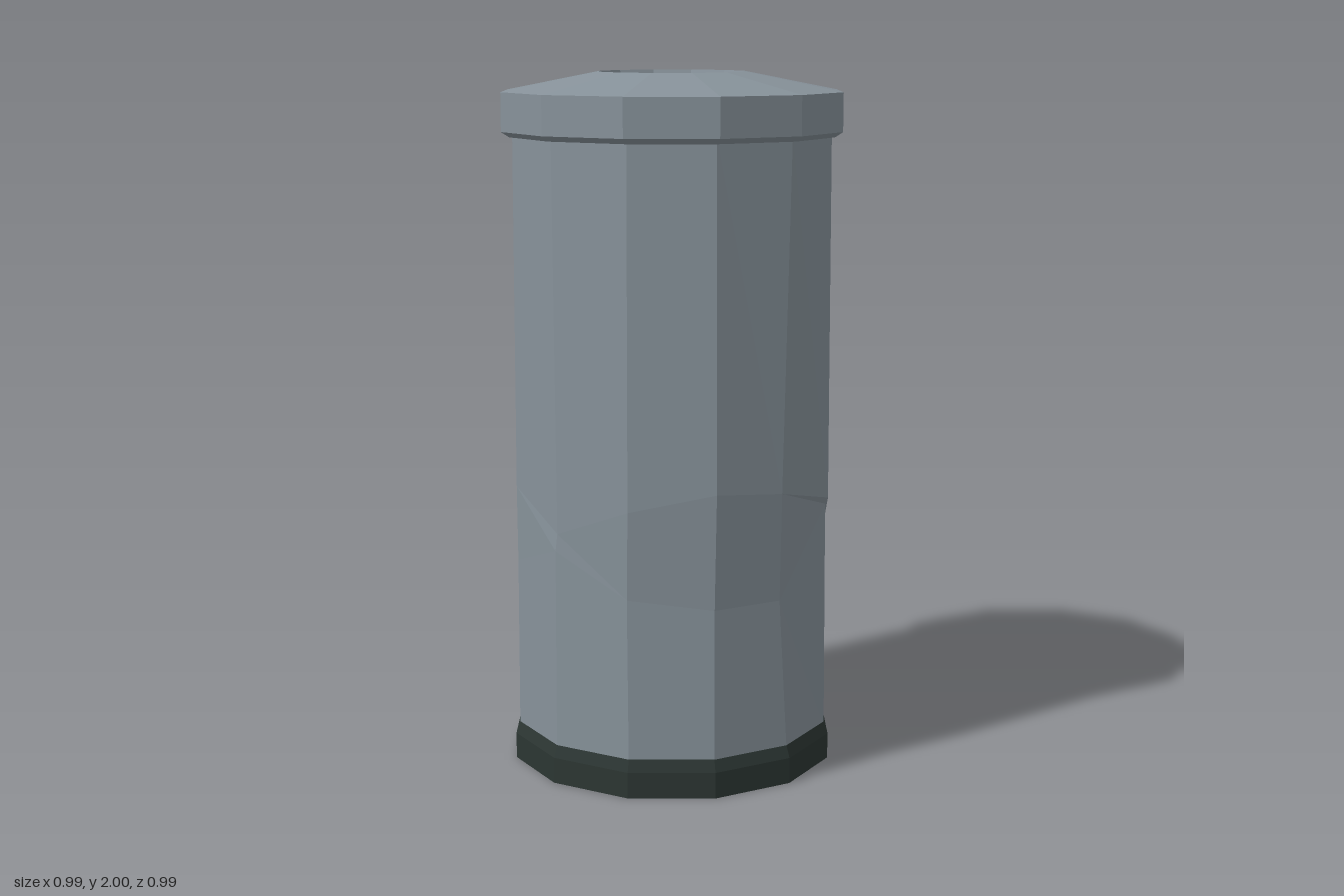
import * as THREE from 'three';

const mat = (name, color) => {
  const m = new THREE.MeshStandardMaterial({ color, side: THREE.DoubleSide });
  m.name = name;
  return m;
};

// Faceted normals for the low-poly look
function flat(geo) {
  const g = geo.index ? geo.toNonIndexed() : geo;
  g.computeVertexNormals();
  return g;
}

export function createModel() {
  const group = new THREE.Group();
  const steel = mat('greySteel', 0x87929a);
  const dark = mat('darkRubber', 0x2c3633);
  const brown = mat('brownCard', 0x8a5c36);
  const blue = mat('blueWrapper', 0x4762a6);

  const add = (name, geo, material, pos = [0, 0, 0], rot = [0, 0, 0]) => {
    const mesh = new THREE.Mesh(flat(geo), material);
    mesh.name = name;
    mesh.position.set(...pos);
    mesh.rotation.set(...rot);
    group.add(mesh);
    return mesh;
  };
  const lathe = (points) => new THREE.LatheGeometry(points.map(p => new THREE.Vector2(...p)), 12);

  // Base with a small bevel
  add('base', lathe([[0, 0], [0.475, 0], [0.475, 0.075], [0.463, 0.11], [0, 0.11]]), dark);

  // Twelve-sided body, two middle rings shifted to make the front dent
  const body = lathe([[0.463, 0.1], [0.462, 0.6], [0.464, 0.82], [0.463, 1.84]]);
  const p = body.attributes.position;
  const dent = {
    0: [[0, 0.54, 0.46], [0, 0.87, 0.478]],
    1: [[0.205, 0.54, 0.405], [0.205, 0.85, 0.42]],
    2: [[0.395, 0.77, 0.235], [0.4, 0.79, 0.245]],
    10: [[-0.4, 0.68, 0.235], [-0.395, 0.73, 0.238]],
    11: [[-0.235, 0.57, 0.4], [-0.235, 0.82, 0.412]],
  };
  for (let i = 0; i <= 12; i++) {
    const d = dent[i % 12];
    if (d) d.forEach((v, k) => p.setXYZ(i * 4 + 1 + k, ...v));
  }
  add('body', body, steel);
  add('innerFloor', new THREE.CylinderGeometry(0.45, 0.45, 0.01, 12), steel, [0, 0.125, 0]);

  // Lid with sloping top and a funnel-shaped opening
  add('lid', lathe([[0.455, 1.82], [0.472, 1.82], [0.495, 1.835], [0.495, 1.945],
    [0.215, 2.0], [0.188, 1.92]]), steel);

  // Open square box among the rubbish
  const outline = new THREE.Shape([[-1, -1], [1, -1], [1, 1], [-1, 1]].map(([x, y]) =>
    new THREE.Vector2(x * 0.113, y * 0.113)));
  outline.holes.push(new THREE.Path([[-1, -1], [-1, 1], [1, 1], [1, -1]].map(([x, y]) =>
    new THREE.Vector2(x * 0.093, y * 0.093))));
  const frame = new THREE.ExtrudeGeometry(outline, { depth: 0.3, bevelEnabled: false });
  frame.rotateX(Math.PI / 2);
  frame.rotateY(0.35);
  add('openBox', frame, steel, [0.05, 1.76, 0.04]);
  add('boxFloor', new THREE.BoxGeometry(0.2, 0.01, 0.2), steel, [0.05, 1.47, 0.04], [0, 0.35, 0]);
  add('boxScrap', new THREE.DodecahedronGeometry(0.07), brown, [0.045, 1.47, 0.12]);

  // Loose rubbish around the box
  add('brownCarton', new THREE.BoxGeometry(0.03, 0.3, 0.2), brown, [-0.075, 1.5, 0.085], [0, 0.35, 0]);
  add('blueWrapper', new THREE.BoxGeometry(0.07, 0.12, 0.09), blue, [-0.15, 1.5, -0.03], [0, -0.3, 0]);
  add('darkBag', new THREE.TetrahedronGeometry(0.12), dark, [-0.02, 1.4, -0.1], [0.3, 0.5, 0]);
  add('darkScrap', new THREE.TetrahedronGeometry(0.09), dark, [-0.1, 1.4, 0.13], [0.2, 1.2, 0]);
  add('darkChip', new THREE.BoxGeometry(0.04, 0.05, 0.05), dark, [0.18, 1.45, 0.01], [0, 0.5, 0]);
  add('greyStrip', new THREE.BoxGeometry(0.16, 0.04, 0.02), steel, [0.05, 1.5, -0.14], [0, -0.65, 0]);

  return group;
}
